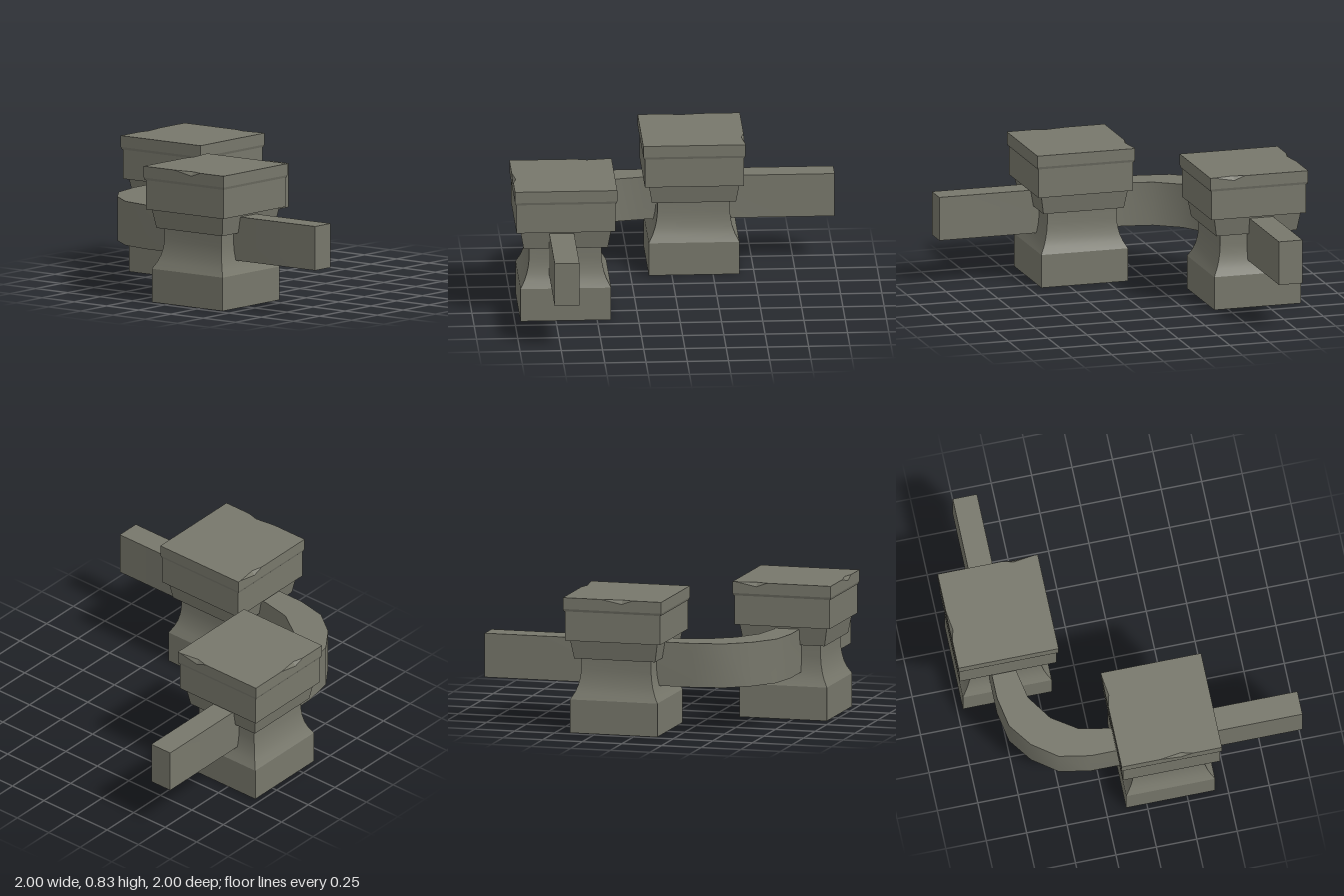
import * as THREE from 'three';
import { toCreasedNormals } from 'three/addons/utils/BufferGeometryUtils.js';

const stone = new THREE.MeshStandardMaterial({ color: 0x77776b });

function part(name, geometry) {
  const mesh = new THREE.Mesh(geometry, stone);
  mesh.name = name;
  return mesh;
}

// Square solid turned from a list of [half width, height]
function squareLathe(profile, crease = 0.45) {
  const points = profile.map(([r, y]) => new THREE.Vector2(r * Math.SQRT2, y));
  return toCreasedNormals(new THREE.LatheGeometry(points, 4, Math.PI / 4), crease);
}

// Capstone: stacked square loops, with a chip knocked out of two top edges
function capGeometry() {
  const h = 0.31, top = 0.835;
  // Each loop point: x, z, and for the chip's middle the inward direction
  const loop = [
    { x: h, z: h }, { x: h, z: 0.29 }, { x: h, z: 0.16, chip: [-1, 0] }, { x: h, z: 0.09 },
    { x: h, z: -h }, { x: 0.07, z: -h }, { x: -0.06, z: -h, chip: [0, 1] }, { x: -0.13, z: -h },
    { x: -h, z: -h }, { x: -h, z: h },
  ];
  const level = (half, y) => loop.map((p) => [p.x * half / h, y, p.z * half / h]);
  const levels = [
    level(0.295, 0.75), level(0.305, 0.75), level(h, 0.765),
    loop.map((p) => [p.x, p.chip ? top - 0.025 : top, p.z]),
    loop.map((p) => (p.chip ? [p.x + p.chip[0] * 0.018, top, p.z + p.chip[1] * 0.018] : [p.x, top, p.z])),
  ];
  const pos = [];
  for (let i = 0; i < loop.length; i++) {
    const j = (i + 1) % loop.length;
    for (let k = 0; k < levels.length - 1; k++) {
      const a = levels[k], b = levels[k + 1];
      // At the chip the last band is a single triangle
      if (k < 3) pos.push(...a[i], ...a[j], ...b[j], ...a[i], ...b[j], ...b[i]);
      else if (loop[j].chip) pos.push(...a[i], ...a[j], ...b[j]);
      else if (loop[i].chip) pos.push(...a[i], ...a[j], ...b[i]);
    }
    pos.push(0, top, 0, ...levels[4][i], ...levels[4][j]);
  }
  const g = new THREE.BufferGeometry();
  g.setAttribute('position', new THREE.Float32BufferAttribute(pos, 3));
  g.computeVertexNormals();
  return g;
}

function createPillar(name) {
  const pillar = new THREE.Group();
  pillar.name = name;
  pillar.add(
    part('pedestal', squareLathe([
      [0, 0], [0.275, 0], [0.275, 0.205], [0.25, 0.25], [0.235, 0.29],
      [0.225, 0.335], [0.22, 0.38], [0.22, 0.46],
    ])),
    part('collar', squareLathe([[0, 0.455], [0.255, 0.455], [0.275, 0.572]], 0.3)),
    part('block', new THREE.BoxGeometry(0.6, 0.18, 0.6).translate(0, 0.66, 0)),
    part('cap', capGeometry()),
  );
  return pillar;
}

// Rail: plan outline of two straight runs joined by a bend, extruded upward
function railGeometry() {
  const outer = [[-0.79, 1], [-0.79, -0.31], [-0.755, -0.5], [-0.645, -0.65], [-0.5, -0.755], [-0.31, -0.79], [1, -0.79]];
  const inner = [[1, -0.64], [-0.16, -0.64], [-0.345, -0.605], [-0.5, -0.5], [-0.605, -0.345], [-0.64, -0.16], [-0.64, 1]];
  const shape = new THREE.Shape([...outer, ...inner].map(([x, z]) => new THREE.Vector2(x, -z)));
  const g = new THREE.ExtrudeGeometry(shape, { depth: 0.27, bevelEnabled: false });
  g.rotateX(-Math.PI / 2).translate(0, 0.285, 0);
  return toCreasedNormals(g, 0.6);
}

export function createModel() {
  const model = new THREE.Group();
  model.name = 'cornerBalustrade';

  const backPillar = createPillar('backPillar');
  backPillar.position.set(0.135, 0, -0.69);

  // Same pillar, a quarter turn round
  const frontPillar = createPillar('frontPillar');
  frontPillar.position.set(-0.69, 0, 0.148);
  frontPillar.rotation.y = Math.PI / 2;

  model.add(backPillar, frontPillar, part('rail', railGeometry()));
  return model;
}
